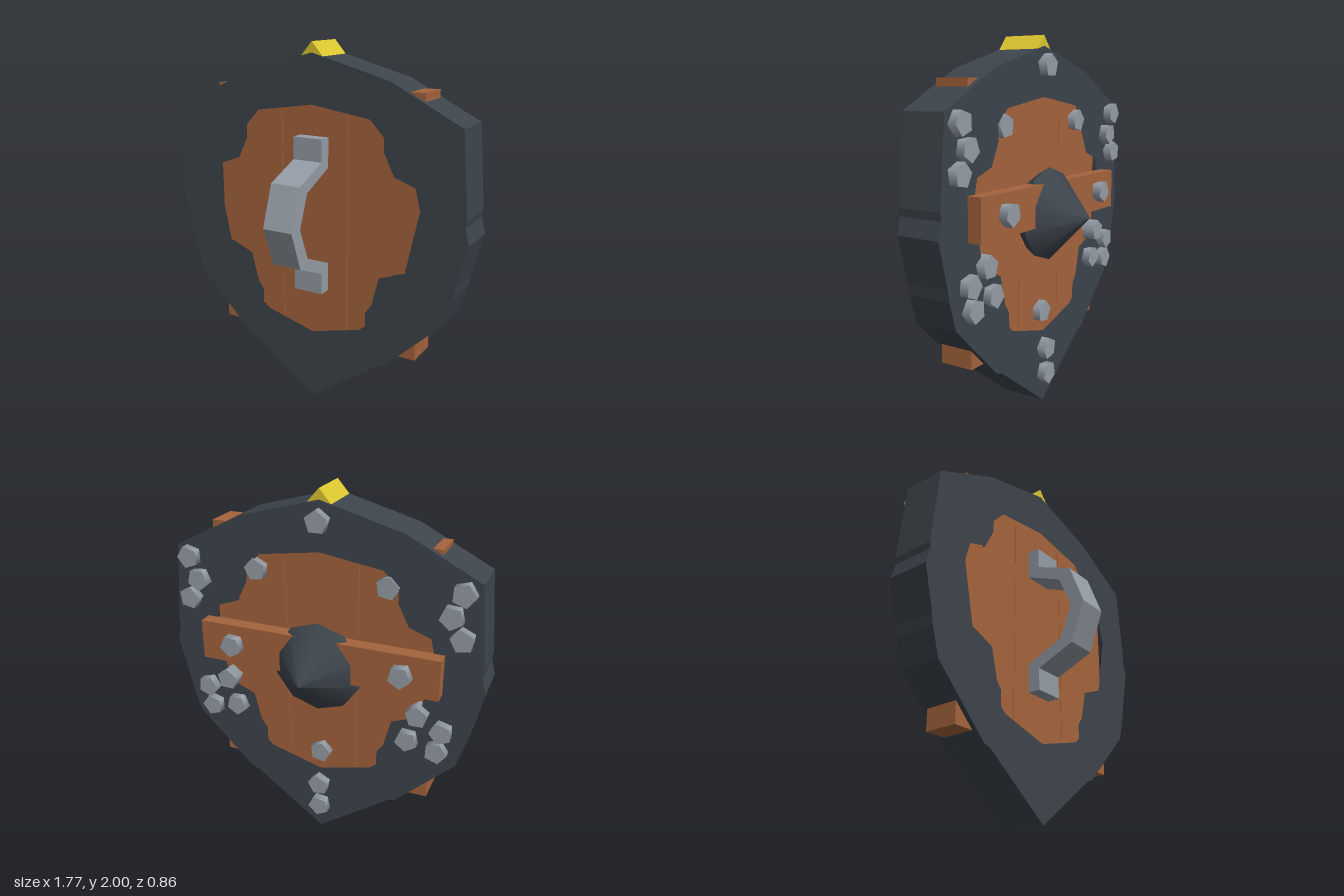
import * as THREE from 'three';

const mat = (color) => new THREE.MeshStandardMaterial({ color });

// Symmetric closed outline from its +x half, listed top to bottom
function mirrored(half, Kind) {
  const right = half.map(([x, y]) => new THREE.Vector2(x, y));
  const left = half.filter(([x]) => x > 0).map(([x, y]) => new THREE.Vector2(-x, y)).reverse();
  return new Kind([...right, ...left]);
}

export function createModel() {
  const model = new THREE.Group();
  model.name = 'shield';
  const iron = mat(0x3d444c), wood = mat(0xa5633c), steel = mat(0x959da6), gold = mat(0xdcc62f);

  const add = (name, geometry, material, x = 0, y = 0, z = 0) => {
    const mesh = new THREE.Mesh(geometry, material);
    mesh.name = name;
    mesh.position.set(x, y, z);
    model.add(mesh);
    return mesh;
  };
  const extrude = (shape, depth) => new THREE.ExtrudeGeometry(shape, { depth, bevelEnabled: false });

  // Iron rim with an irregular opening
  const rim = mirrored([
    [0, 1.945], [0.44, 1.825], [0.82, 1.63], [0.86, 1.195], [0.855, 1.155], [0.878, 1.07],
    [0.82, 0.835], [0.81, 0.775], [0.765, 0.625], [0.445, 0.31], [0.4, 0.295], [0, 0],
  ], THREE.Shape);
  rim.holes.push(mirrored([
    [0, 1.685], [0.335, 1.635], [0.415, 1.55], [0.415, 1.48], [0.475, 1.36], [0.59, 1.32],
    [0.62, 1.205], [0.55, 0.865], [0.515, 0.855], [0.405, 0.81], [0.365, 0.65], [0.33, 0.6],
    [0.33, 0.52], [0.295, 0.49], [0, 0.41],
  ], THREE.Path));
  add('rim', extrude(rim, 0.242), iron, 0, 0, -0.148);

  // Three upright planks; the outer two poke out through the rim
  add('middlePlank', new THREE.BoxGeometry(0.4, 1.4, 0.185), wood, 0, 1.07, -0.025);
  for (const s of [-1, 1])
    add('outerPlank', new THREE.BoxGeometry(0.41, 1.4, 0.185), wood, s * 0.408, 1.07 + s * 0.008, -0.025);

  // Gold wedge set in the top of the rim
  const wedge = mirrored([[0, 2], [0.29, 1.67], [0, 1.72]], THREE.Shape);
  add('crestWedge', extrude(wedge, 0.239), gold, 0, 0, -0.1465);

  // Bent grip strap on the front
  const strap = new THREE.Shape([
    [0.07, 1.52], [0.07, 1.36], [0.28, 1.27], [0.35, 1.095], [0.28, 0.92], [0.07, 0.83], [0.07, 0.67],
    [0.14, 0.67], [0.14, 0.79], [0.35, 0.88], [0.43, 1.095], [0.35, 1.315], [0.14, 1.4], [0.14, 1.52],
  ].map(([z, y]) => new THREE.Vector2(-z, y)));
  const strapGeometry = extrude(strap, 0.17);
  strapGeometry.rotateY(Math.PI / 2);
  add('grip', strapGeometry, steel, -0.085);

  // Crossbar on the back
  add('crossbar', new THREE.BoxGeometry(1.33, 0.22, 0.08), wood, 0, 1.135, -0.183);

  // Pointed boss
  const boss = new THREE.LatheGeometry(
    [[0.2, 0.1], [0.25, 0.185], [0.25, 0.185], [0, 0.43]].map(([r, h]) => new THREE.Vector2(r, h)), 10);
  boss.rotateX(-Math.PI / 2);
  add('boss', boss, iron, 0, 1.07, 0);

  // Five-sided rivets: x, y and height of the outer face behind the centre
  const rivetGeometry = new THREE.CylinderGeometry(0.062, 0.062, 0.08, 5);
  rivetGeometry.rotateX(-Math.PI / 2);
  const rivets = [
    [0, 1.845, 0.195], [0.74, 1.58, 0.195], [0.69, 1.46, 0.195], [0.75, 1.35, 0.195],
    [0.36, 1.55, 0.16], [0.47, 1.14, 0.273], [0.68, 0.82, 0.195], [0.55, 0.89, 0.195],
    [0.66, 0.7, 0.195], [0.5, 0.735, 0.195], [0, 0.52, 0.16], [0, 0.315, 0.195], [0, 0.17, 0.195],
  ];
  rivets.forEach(([x, y, back], i) => {
    for (const s of x > 0 ? [-1, 1] : [1])
      add('rivet', rivetGeometry, steel, s * x, y, 0.04 - back).rotation.z = i * 0.9 * s;
  });

  // The whole shield is turned slightly
  model.rotation.y = 0.072;
  const root = new THREE.Group();
  root.add(model);
  return root;
}
